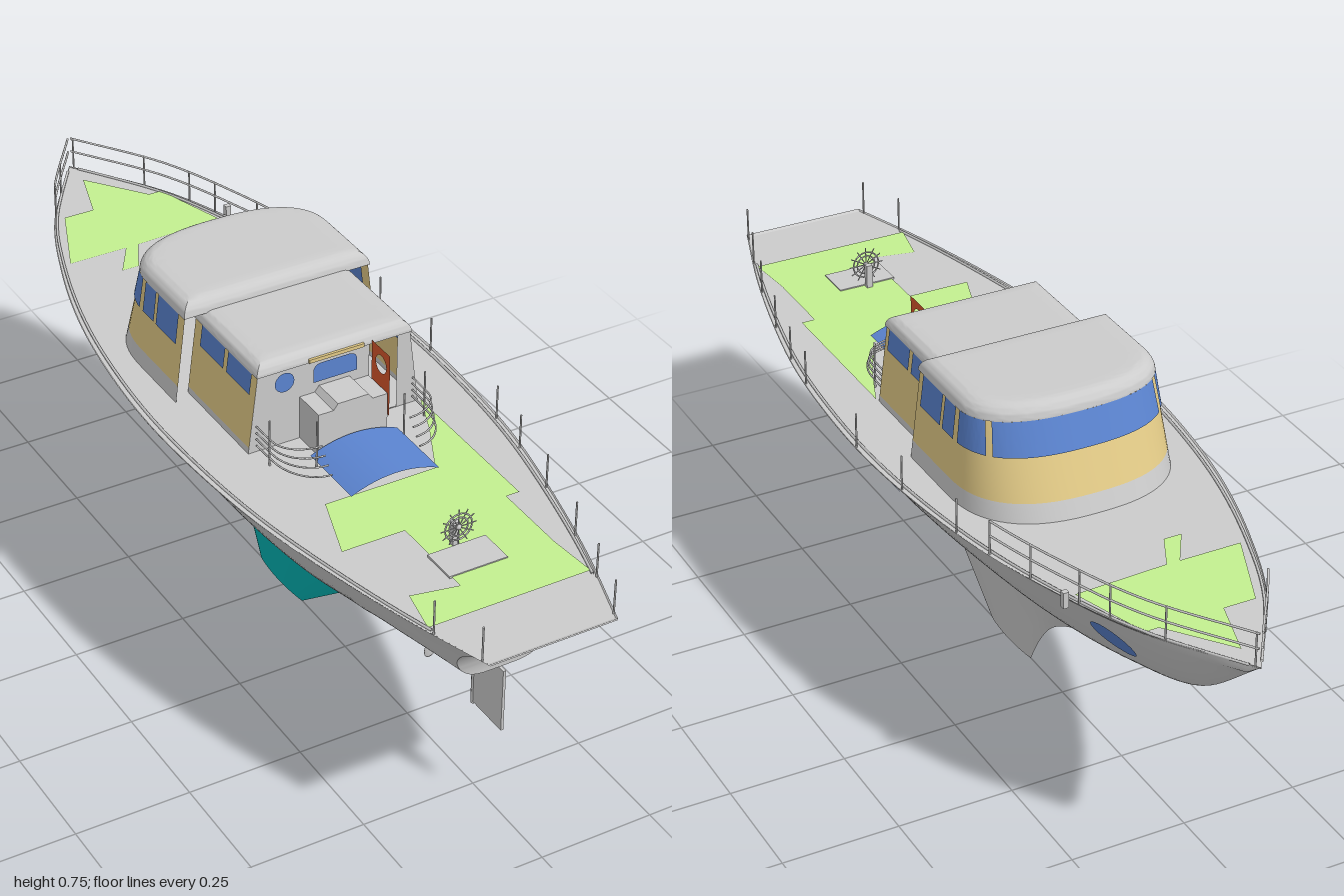
import * as THREE from 'three';
import { toCreasedNormals } from 'three/addons/utils/BufferGeometryUtils.js';
import { ParametricGeometry } from 'three/addons/geometries/ParametricGeometry.js';

const GREY = 0xcccccc, BLUE = 0x5b84d0, TAN = 0xe3cb87, GREEN = 0xc3f090, TEAL = 0x00b4b4, RED = 0xd8582c;
const lerp = THREE.MathUtils.lerp;
const V = (x, y, z) => new THREE.Vector3(x, y, z);
const shape = (pts) => new THREE.Shape(pts.map(([a, b]) => new THREE.Vector2(a, b)));
const DECK = 0.522, RIM = 0.525;

// Hull stations at equal z steps from bow (-1) to stern (+1): half width and keel height
const WIDTH = [0, 0.135, 0.217, 0.274, 0.307, 0.322, 0.317, 0.297, 0.257, 0.205, 0.14];
const KEEL = [0.525, 0.36, 0.285, 0.243, 0.231, 0.229, 0.231, 0.268, 0.328, 0.347, 0.35];
const lines = new THREE.CatmullRomCurve3(WIDTH.map((w, i) => V(-1 + i * 0.2, w, KEEL[i])), false, 'catmullrom', 0.5);
const station = (z) => {
  const p = lines.getPoint((z + 1) / 2);
  return {
    w: Math.max(p.y, 0), k: p.z,
    pow: z < 0 ? lerp(0.57, 0.8, -z) : lerp(0.57, 0.22, z ** 1.2),
    flare: z < 0 ? 0.92 : lerp(0.92, 0.965, z * z),
  };
};

// Point on the hull: v runs rim - keel - rim; the stern sweeps forward as it goes down
function hullPoint(z, v, out) {
  const { w, k, pow, flare } = station(z), a = Math.abs(v), top = Math.max(0.505, k);
  const t = Math.min(a / 0.9, 1) ** 2, f = Math.max(0, (a - 0.9) / 0.1), aft = Math.max(0, z - 0.6);
  const x = w * lerp(flare * t ** pow, 1, f);
  const zs = lerp(z - aft * 0.425, z - aft * 0.125, t ** 2.2);
  return out.set(Math.sign(v) * x, lerp(lerp(k, top, t), RIM, f), lerp(zs, z, f));
}

// Closed cabin plan: right side, curved front, left side, back
function plan(u, y, c, grow, out) {
  const s = (y - c.y0) / (c.y1 - c.y0), w = lerp(c.w0, c.w1, s) + grow;
  const zf = lerp(c.f0, c.f1, s) - grow, zb = c.back + grow, zc = Math.max(c.mid, zf);
  if (u <= 0.2) return out.set(-w, y, lerp(zb, zc, u / 0.2));
  if (u >= 0.8) return out.set(lerp(w, -w, (u - 0.8) / 0.2), y, zb);
  if (u >= 0.6) return out.set(w, y, lerp(zc, zb, (u - 0.6) / 0.2));
  const a = Math.PI * (u - 0.2) / 0.4, e = 2 / 2.5, cx = Math.cos(a);
  return out.set(-w * Math.sign(cx) * Math.abs(cx) ** e, y, zc - (zc - zf) * Math.abs(Math.sin(a)) ** e);
}

export function createModel() {
  const model = new THREE.Group();
  const mats = {};
  const mat = (c) => mats[c] ??= new THREE.MeshStandardMaterial({ color: c, side: THREE.DoubleSide });
  const add = (name, geo, color = GREY, x = 0, y = 0, z = 0) => {
    const m = new THREE.Mesh(geo, mat(color));
    m.name = name;
    m.position.set(x, y, z);
    model.add(m);
  };
  const sheet = (name, f, nu, nv, color, crease) => {
    let g = new ParametricGeometry(f, nu, nv);
    g.computeVertexNormals();
    if (crease) g = toCreasedNormals(g, crease);
    add(name, g, color);
  };
  const box = (name, w, h, d, x, y, z, color) => add(name, new THREE.BoxGeometry(w, h, d), color, x, y, z);
  const tube = (name, pts, r = 0.002, n = 24) =>
    add(name, new THREE.TubeGeometry(new THREE.CatmullRomCurve3(pts), n, r, 6));
  const post = (name, x, z, top) =>
    add(name, new THREE.CylinderGeometry(0.002, 0.002, top - DECK, 6), GREY, x, (top + DECK) / 2, z);
  const flat = (name, pts) =>
    add(name, new THREE.ShapeGeometry(shape(pts.map(([x, z]) => [x, -z]))).rotateX(-Math.PI / 2), GREEN, 0, 0.5245, 0);

  // Hull, transom and deck
  sheet('hull', (u, v, o) => hullPoint(1 - u * 2, v * 2 - 1, o), 80, 40, GREY, 0.7);
  sheet('transom', (u, v, o) => { hullPoint(1, v, o); o.x *= u * 2 - 1; }, 8, 20, GREY, 0.7);
  sheet('deck', (u, v, o) => {
    const z = u * 2 - 1;
    o.set(station(z).w * 0.995 * (v * 2 - 1), DECK, z);
  }, 60, 2, GREY);
  for (const s of [-1, 1]) {
    const edge = Array.from({ length: 24 }, (_, i) => {
      const z = lerp(-0.98, 0.86, i / 23);
      return V(s * station(z).w * 0.95, DECK + 0.002, z);
    });
    tube('toeRail', edge, 0.003, 48);
  }

  // Portholes lying on the hull sides
  for (const s of [-1, 1]) for (const zc of [0.035, -0.68]) {
    sheet('porthole', (u, v, o) => {
      const a = s * u * Math.PI * 2, z = zc + 0.044 * v * Math.cos(a), y = 0.435 + 0.044 * v * Math.sin(a);
      const { w, k, pow, flare } = station(z);
      o.set(s * (w * flare * ((y - k) / (0.505 - k)) ** pow + 0.003), y, z);
    }, 28, 4, BLUE);
  }

  // Green deck covering
  flat('foredeckCovering', [[0, -0.93], [0.1, -0.8], [0.13, -0.8], [0.185, -0.63], [-0.02, -0.62],
    [-0.06, -0.54], [-0.1, -0.54], [-0.05, -0.62], [-0.185, -0.62], [-0.11, -0.8], [-0.04, -0.8]]);
  flat('aftDeckCovering', [[0.2, 0.2], [0.2, 0.57], [0.17, 0.57], [0.17, 0.74], [0.18, 0.85], [-0.18, 0.85],
    [-0.16, 0.75], [-0.06, 0.77], [-0.06, 0.57], [-0.2, 0.57], [-0.15, 0.42], [0.1, 0.42], [0.16, 0.3]]);

  // Fin keel: one teal side, one grey side
  const lead = new THREE.CatmullRomCurve3([V(0, 0, -0.11), V(0, 0.07, -0.15), V(0, 0.13, -0.2),
    V(0, 0.18, -0.28), V(0, 0.222, -0.4), V(0, 0.245, -0.5)]);
  const keel = (u, v, side, o) => {
    const p = lead.getPoint(v), h = lerp(0.008, 0.033, p.y / 0.24);
    o.set(side * h * Math.sin(Math.PI * u) ** 0.7, p.y, lerp(p.z, lerp(0.07, 0.37, p.y / 0.24), u));
  };
  sheet('keelRight', (u, v, o) => keel(u, v, -1, o), 20, 20, TEAL);
  sheet('keelLeft', (u, v, o) => keel(1 - u, v, 1, o), 20, 20, GREY);
  sheet('keelBottom', (u, v, o) => keel(u, 0, 1 - v * 2, o), 20, 2, GREY);

  // Cabins: wall bands, windows seen from both sides and a rounded roof share one plan
  const cabin = (name, c, walls, panes) => {
    const band = (label, u0, u1, y0, y1, grow, color) =>
      sheet(name + label, (u, v, o) => plan(lerp(u1, u0, u), lerp(y0, y1, v), c, grow, o), u1 - u0 > 0.5 ? 80 : 24, 4, color, 0.6);
    for (const [a, b] of walls) {
      band('LowerWall', a, b, c.y0, c.sill, 0, GREY);
      band('Panel', a, b, c.sill, c.y1, 0, TAN);
    }
    for (const [a, b] of panes) for (const [p, q] of [[a, b], [0.8 - b, 0.8 - a]]) for (const grow of [0.003, -0.003]) {
      band('Window', p, q, 0.648, c.y1, grow, BLUE);
    }
    const r = c.top - c.y1;
    sheet(name + 'Roof', (u, v, o) => {
      const a = Math.min(v / 0.6, 1) * Math.PI / 2;
      plan(1 - u, c.y1, c, 0.003 - r * (1 - Math.cos(a)), o);
      o.y += r * 0.97 * Math.sin(a);
      if (v > 0.6) o.lerp(V(0, c.top, (c.back + c.f1) / 2), (v - 0.6) / 0.4);
    }, 80, 20, GREY, 0.6);
  };
  cabin('wheelhouse', { y0: DECK, y1: 0.717, top: 0.75, sill: 0.56, w0: 0.236, w1: 0.212, f0: -0.395, f1: -0.32, back: -0.035, mid: -0.19 },
    [[0, 0.8]], [[0.03, 0.14], [0.152, 0.204], [0.213, 0.272], [0.283, 0.4]]);
  cabin('aftCabin', { y0: DECK, y1: 0.695, top: 0.722, sill: 0.535, w0: 0.196, w1: 0.174, f0: -0.06, f1: -0.06, back: 0.195, mid: -0.06 },
    [[0, 0.2], [0.6, 0.8]], [[0.016, 0.09], [0.1, 0.175]]);

  // Aft bulkhead with open doorway, round and arched windows
  const bulkhead = shape([[-0.196, DECK], [0.196, DECK], [0.174, 0.697], [-0.174, 0.697]]);
  bulkhead.holes.push(new THREE.Path([[0.08, 0.524], [0.08, 0.696], [0.145, 0.696], [0.145, 0.524]].map((p) => new THREE.Vector2(...p))));
  add('aftBulkhead', new THREE.ShapeGeometry(bulkhead), GREY, 0, 0, 0.195);
  add('roundWindow', new THREE.CircleGeometry(0.022, 28), BLUE, -0.115, 0.667, 0.198);
  const arch = new THREE.Shape();
  arch.moveTo(-0.05, 0.645).lineTo(0.05, 0.645).lineTo(0.05, 0.672)
    .quadraticCurveTo(0.048, 0.688, 0.03, 0.688).lineTo(-0.03, 0.688).quadraticCurveTo(-0.048, 0.688, -0.05, 0.672);
  add('archedWindow', new THREE.ShapeGeometry(arch), BLUE, 0, 0, 0.198);
  box('bulkheadTrim', 0.125, 0.008, 0.008, 0.002, 0.7, 0.198, TAN);

  // Open door with a round light
  const door = shape([[-0.2, 0.565], [-0.27, 0.565], [-0.27, 0.705], [-0.2, 0.705]]);
  door.holes.push(new THREE.Path().absarc(-0.236, 0.668, 0.02, 0, Math.PI * 2, true));
  add('openDoor', new THREE.ShapeGeometry(door, 24).rotateY(Math.PI / 2), RED, 0.083, 0, 0);

  // Companionway housing and arched hatch
  const house = shape([[-0.079, DECK], [0.079, DECK], [0.079, 0.62], [0.045, 0.62], [0.035, 0.633],
    [-0.035, 0.633], [-0.045, 0.62], [-0.079, 0.62]]);
  add('companionway', new THREE.ExtrudeGeometry(house, { depth: 0.075, bevelEnabled: false }), GREY, 0, 0, 0.195);
  sheet('hatch', (u, v, o) => {
    const x = u * 2 - 1;
    o.set(0.1 * x, 0.556 - 0.022 * x * x, lerp(0.435, 0.275, v));
  }, 16, 2, BLUE);

  // Curved guard rails either side of the companionway
  for (const s of [-1, 1]) {
    for (let i = 0; i < 4; i++) {
      const y = 0.54 + i * 0.015, pts = [V(s * 0.18, y, 0.2)];
      for (let j = 0; j <= 8; j++) {
        const a = j / 8 * Math.PI / 2;
        pts.push(V(s * (0.1 + 0.078 * Math.cos(a)), y, 0.26 + (0.1 - i * 0.013) * Math.sin(a)));
      }
      tube('guardRail', pts);
    }
    post('guardPost', s * 0.1, 0.3, 0.63);
    post('guardPost', s * 0.178, 0.25, 0.628);
  }

  // Steering wheel, pedestal and floor panel
  const wheel = new THREE.Group();
  wheel.name = 'steeringWheel';
  wheel.position.set(0, 0.572, 0.665);
  const wheelPart = (name, geo, turn = 0) => {
    const m = new THREE.Mesh(geo, mat(GREY));
    m.name = name;
    m.rotation.z = turn;
    wheel.add(m);
  };
  for (const r of [0.03, 0.021]) wheelPart('wheelRim', new THREE.TorusGeometry(r, 0.0018, 6, 32));
  for (let i = 0; i < 6; i++) wheelPart('wheelSpoke', new THREE.CylinderGeometry(0.0012, 0.0012, 0.08, 6), i * Math.PI / 6);
  wheelPart('wheelHub', new THREE.SphereGeometry(0.006, 12, 8));
  model.add(wheel);
  box('wheelPedestal', 0.014, 0.055, 0.012, 0, 0.55, 0.652, GREY);
  box('helmPanel', 0.13, 0.006, 0.08, 0, 0.524, 0.7, GREY);

  // Bow rails and stanchions
  const edge = (s, z, y) => V(s * station(z).w * 0.98, y, z);
  for (const [s, end] of [[1, -0.43], [-1, -0.82]]) for (const y of [0.598, 0.565]) {
    tube('bowRail', Array.from({ length: 13 }, (_, i) => edge(s, lerp(-0.995, end, i / 12), y)), 0.0025, 40);
  }
  const stands = { 1: [0.98, 0.87, 0.74, 0.58, 0.44, 0.33, 0.05, -0.14, -0.33, -0.43, -0.54, -0.66, -0.73, -0.84, -0.99], '-1': [0.98, 0.87, -0.82, -0.9] };
  for (const s of [1, -1]) for (const z of stands[s]) post('stanchion', edge(s, z, 0).x, z, 0.6);
  box('boardingCleat', 0.012, 0.035, 0.012, 0.212, 0.528, -0.64, GREY);

  // Rudder, propeller shaft and propeller
  box('rudder', 0.006, 0.145, 0.11, 0.009, 0.262, 0.775, GREY);
  add('rudderStock', new THREE.CylinderGeometry(0.005, 0.005, 0.16, 12), GREY, 0.009, 0.265, 0.725);
  add('rudderBearing', new THREE.SphereGeometry(0.007, 12, 8), GREY, 0.009, 0.337, 0.775);
  add('propellerShaft', new THREE.CylinderGeometry(0.006, 0.006, 0.22, 12).rotateX(Math.PI / 2), GREY, 0.005, 0.262, 0.49);
  add('propellerHub', new THREE.SphereGeometry(0.012, 16, 12), GREY, 0.005, 0.262, 0.595);
  for (let i = 0; i < 3; i++) {
    const blade = new THREE.SphereGeometry(1, 12, 8).scale(0.022, 0.011, 0.002).rotateX(1).translate(0.028, 0, 0);
    add('propellerBlade', blade.rotateZ(i * Math.PI * 2 / 3), GREY, 0.005, 0.262, 0.595);
  }
  return model;
}
